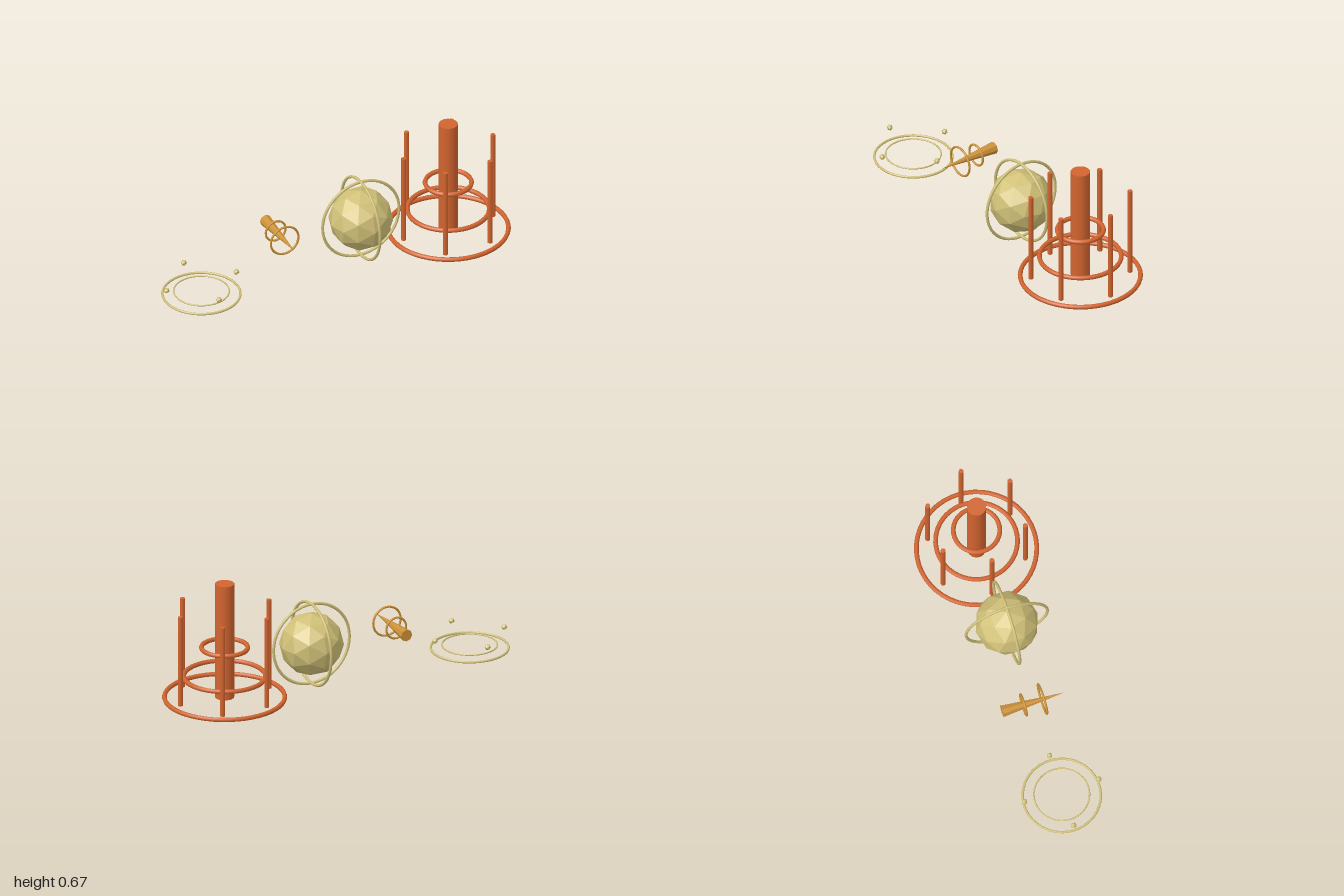
import * as THREE from 'three';

const orange = new THREE.MeshStandardMaterial({ color: 0xd2642f });
orange.name = 'burnt orange';
const khaki = new THREE.MeshStandardMaterial({ color: 0xd0c078 });
khaki.name = 'pale khaki';
const gold = new THREE.MeshStandardMaterial({ color: 0xcc9238 });
gold.name = 'amber gold';

// Flat facets for the low-poly solids
function faceted(geometry) {
  const flat = geometry.index ? geometry.toNonIndexed() : geometry;
  flat.computeVertexNormals();
  return flat;
}

function add(parent, name, geometry, material, x = 0, y = 0, z = 0) {
  const mesh = new THREE.Mesh(geometry, material);
  mesh.name = name;
  mesh.position.set(x, y, z);
  parent.add(mesh);
  return mesh;
}

// Ring lying flat in the xz plane
function flatRing(parent, name, radius, tube, material, y) {
  const geometry = new THREE.TorusGeometry(radius, tube, 8, 48).rotateX(Math.PI / 2);
  return add(parent, name, geometry, material, 0, y, 0);
}

function section(root, name, x, y = 0) {
  const group = new THREE.Group();
  group.name = name;
  group.position.set(x, y, 0);
  root.add(group);
  return group;
}

// Column with stacked rings and six surrounding posts
function buildTower(root) {
  const tower = section(root, 'tower', 0.67);
  const bottom = 0.032;
  const columnHeight = 0.675 - bottom;
  add(tower, 'column', new THREE.CylinderGeometry(0.051, 0.051, columnHeight, 16), orange,
    0, bottom + columnHeight / 2, 0);

  flatRing(tower, 'baseRing', 0.316, 0.0125, orange, 0.032);
  flatRing(tower, 'middleRing', 0.215, 0.0125, orange, 0.149);
  flatRing(tower, 'upperRing', 0.122, 0.0125, orange, 0.313);

  const postHeight = 0.535 - bottom;
  const post = new THREE.CylinderGeometry(0.0135, 0.0135, postHeight, 8);
  for (let i = 0; i < 6; i++) {
    const angle = (i * Math.PI) / 3;
    add(tower, 'post', post, orange,
      0.262 * Math.cos(angle), bottom + postHeight / 2, 0.262 * Math.sin(angle));
  }
}

// Faceted ball inside two crossed upright rings
function buildOrb(root) {
  const orb = section(root, 'orb', 0.156, 0.236);
  add(orb, 'core', faceted(new THREE.IcosahedronGeometry(0.171, 1)), khaki);
  const ring = new THREE.TorusGeometry(0.2245, 0.008, 8, 48);
  add(orb, 'frontRing', ring, khaki);
  add(orb, 'sideRing', ring, khaki).rotation.y = Math.PI / 2;
}

// Forward-pointing spike threaded through two rings
function buildSpike(root) {
  const spike = section(root, 'spike', -0.314, 0.256);
  const cone = new THREE.ConeGeometry(0.033, 0.343, 8).rotateX(Math.PI / 2);
  add(spike, 'cone', faceted(cone), gold, 0, 0, -0.007);
  add(spike, 'rearRing', new THREE.TorusGeometry(0.058, 0.006, 8, 32), gold, 0, 0, -0.06);
  add(spike, 'frontRing', new THREE.TorusGeometry(0.081, 0.006, 8, 32), gold, 0, 0, 0.045);
}

// Two low rings with four floating beads
function buildHalo(root) {
  const halo = section(root, 'halo', -0.78);
  flatRing(halo, 'outerRing', 0.205, 0.0065, khaki, 0.034);
  flatRing(halo, 'innerRing', 0.146, 0.004, khaki, 0.05);
  const bead = faceted(new THREE.IcosahedronGeometry(0.0165, 0));
  for (let i = 0; i < 4; i++) {
    const angle = (i * Math.PI) / 2;
    add(halo, 'bead', bead, khaki, 0.205 * Math.cos(angle), 0.11, 0.205 * Math.sin(angle));
  }
}

export function createModel() {
  const root = new THREE.Group();
  root.name = 'ringSculptures';
  buildTower(root);
  buildOrb(root);
  buildSpike(root);
  buildHalo(root);
  return root;
}
